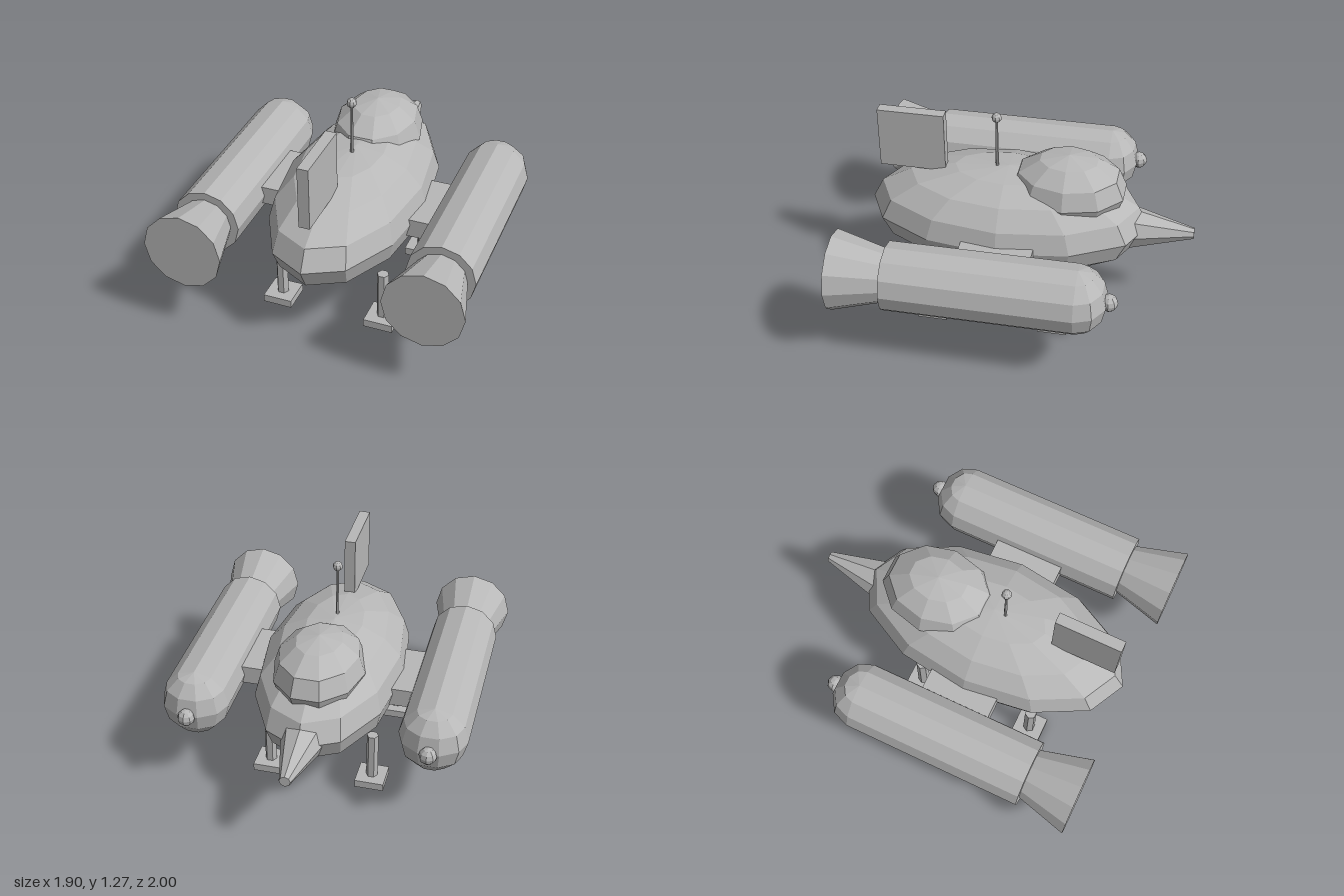
import * as THREE from 'three';

export function createModel() {
  const group = new THREE.Group();
  const hullGrey = new THREE.MeshStandardMaterial({ color: 0xb8b8b8, flatShading: true });
  hullGrey.name = 'hullGrey';

  const add = (name, geometry, x, y, z) => {
    const mesh = new THREE.Mesh(geometry, hullGrey);
    mesh.name = name;
    mesh.position.set(x, y, z);
    group.add(mesh);
    return mesh;
  };
  const ball = (rx, ry, rz, w, h) => new THREE.SphereGeometry(1, w, h).scale(rx, ry, rz);
  // Tapered tube along z: first radius at the +z end
  const tubeZ = (rFront, rBack, length, sides) =>
    new THREE.CylinderGeometry(rFront, rBack, length, sides).rotateX(Math.PI / 2);

  // Body, canopy and spike
  add('hull', ball(0.44, 0.33, 0.85, 12, 8), 0, 0.587, 0.12);
  add('canopy', ball(0.272, 0.225, 0.352, 10, 6), 0, 0.81, -0.24);
  add('spike', tubeZ(0.137, 0.033, 0.4, 8), 0, 0.567, -0.8);

  // Fin and antenna
  add('fin', new THREE.BoxGeometry(0.066, 0.38, 0.4), 0, 1.04, 0.7);
  add('antennaRod', new THREE.CylinderGeometry(0.007, 0.011, 0.36, 6), 0, 1.05, 0.19);
  add('antennaTip', ball(0.03, 0.03, 0.03, 8, 6), 0, 1.24, 0.19);

  for (const side of [-1, 1]) {
    // Side engines
    const x = side * 0.713;
    add('pylon', new THREE.BoxGeometry(0.23, 0.115, 0.43), side * 0.415, 0.565, 0.115);
    add('engineTank', tubeZ(0.203, 0.203, 1.1, 12), x, 0.563, 0.14);
    add('engineDome', ball(0.203, 0.203, 0.175, 10, 6), x, 0.563, -0.41);
    add('engineKnob', ball(0.052, 0.052, 0.052, 8, 6), x, 0.565, -0.587);
    add('engineNozzle', tubeZ(0.238, 0.155, 0.31, 12), x, 0.563, 0.845);

    // Landing legs
    for (const z of [0.525, -0.215]) {
      add('leg', new THREE.CylinderGeometry(0.036, 0.036, 0.305, 6).rotateY(Math.PI / 6), side * 0.32, 0.1975, z);
      add('foot', new THREE.BoxGeometry(0.178, 0.048, 0.178), side * 0.32, 0.024, z);
    }
  }
  return group;
}
